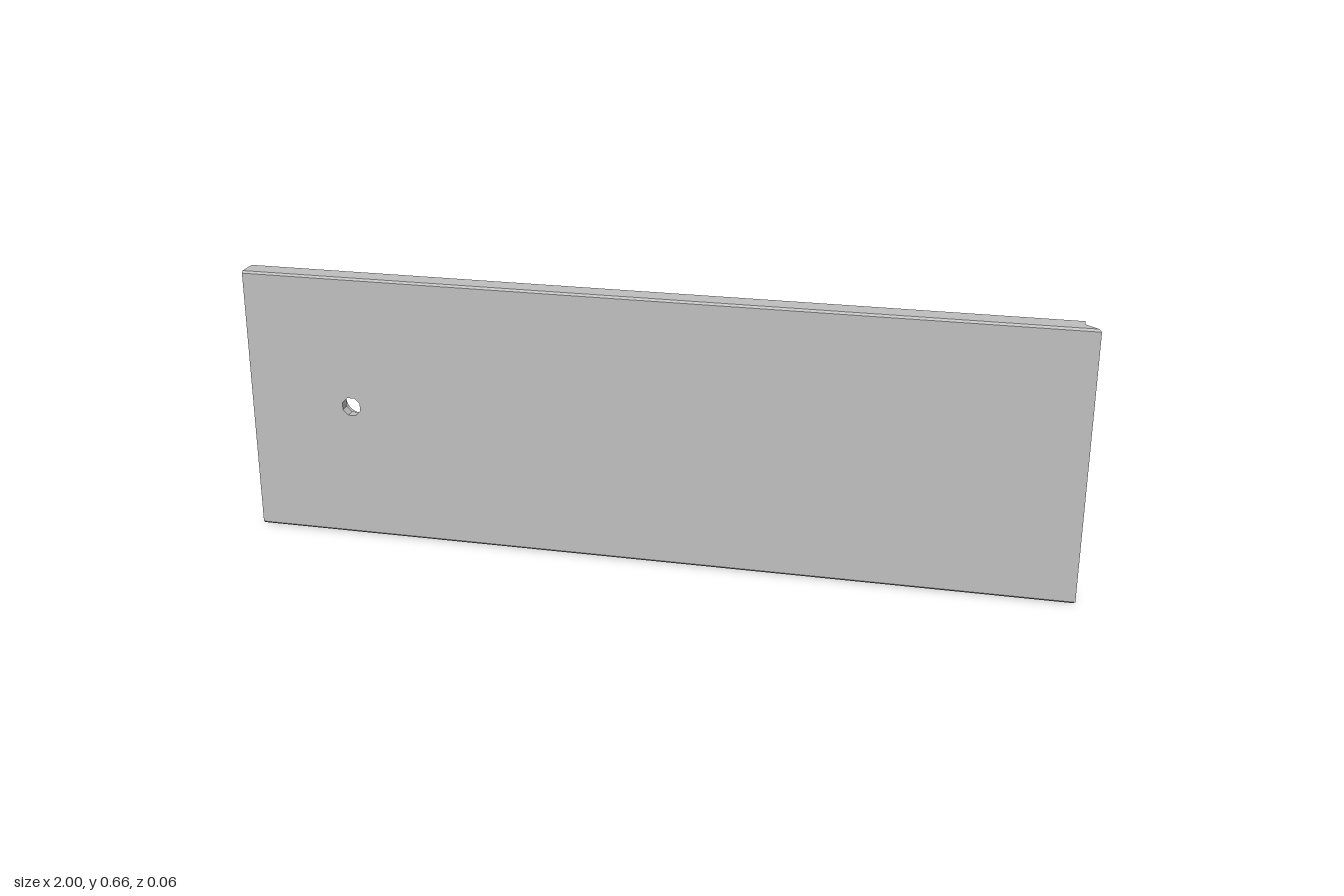
import * as THREE from 'three';

const BACK = -0.03, FRONT = 0.03, MID = -0.003;
const H = 0.66, BEVEL = 0.005;
const NOTCHES = [0.165, 0.333, 0.5];

// Side walls through [loop, z] sections; counter-clockwise loops face outward, clockwise inward
function loft(sections) {
  const pos = [];
  for (let s = 0; s + 1 < sections.length; s++) {
    const [a, z0] = sections[s], [b, z1] = sections[s + 1];
    a.forEach((p, i) => {
      const j = (i + 1) % a.length;
      pos.push(...p, z0, ...a[j], z0, ...b[j], z1, ...p, z0, ...b[j], z1, ...b[i], z1);
    });
  }
  const geo = new THREE.BufferGeometry();
  geo.setAttribute('position', new THREE.Float32BufferAttribute(pos, 3));
  geo.computeVertexNormals();
  return geo;
}

// Flat face with holes at depth z, facing the front or the back
function face(loop, holes, z, toBack) {
  const points = (l) => l.map(([x, y]) => new THREE.Vector2(x, y));
  const shape = new THREE.Shape(points(loop));
  holes.forEach((h) => shape.holes.push(new THREE.Path(points(h))));
  const geo = new THREE.ShapeGeometry(shape);
  if (toBack) {
    geo.setIndex(Array.from(geo.index.array).reverse());
    geo.computeVertexNormals();
  }
  return geo.translate(0, 0, z);
}

const reversed = (loop) => [...loop].reverse();
const rect = (x0, x1, y0, y1) => [[x0, y0], [x1, y0], [x1, y1], [x0, y1]];
const circle = (x, y, r, n) => Array.from({ length: n }, (_, i) => {
  const t = ((i + 0.5) / n) * Math.PI * 2;
  return [x + r * Math.cos(t), y + r * Math.sin(t)];
});
const octagon = (x0, x1, y0, y1, c) => [
  [x0 + c, y0], [x1 - c, y0], [x1, y0 + c], [x1, y1 - c],
  [x1 - c, y1], [x0 + c, y1], [x0, y1 - c], [x0, y0 + c],
];

// Flared notch cut into the end edge
const notch = (c) => [
  [0.965, c - 0.05], [0.945, c - 0.037], [0.875, c - 0.037], [0.865, c - 0.027],
  [0.865, c + 0.015], [0.875, c + 0.025], [0.945, c + 0.025], [0.965, c + 0.05],
];
const notchedOutline = (inset) => [
  [-1, inset], [0.965, inset], ...NOTCHES.flatMap(notch), [0.965, H - inset], [-1, H - inset],
];

// Keyhole slot, wide above and narrow below
const keyhole = (x, top) => [
  [x - 0.009, top - 0.125], [x + 0.009, top - 0.125], [x + 0.009, top - 0.08], [x + 0.018, top - 0.08],
  [x + 0.018, top], [x - 0.018, top], [x - 0.018, top - 0.08], [x - 0.009, top - 0.08],
];

export function createModel() {
  const group = new THREE.Group();
  const grey = new THREE.MeshStandardMaterial({ color: 0xc0c0c0 });
  grey.name = 'plain grey';
  const add = (name, geo) => {
    const mesh = new THREE.Mesh(geo, grey);
    mesh.name = name;
    group.add(mesh);
    return mesh;
  };

  const pocket = octagon(-0.64, 0.775, 0.03, 0.63, 0.095);
  const pocketFloor = octagon(-0.594, 0.729, 0.076, 0.584, 0.076);
  const bore = circle(-0.743, 0.335, 0.038, 24);
  const hole = circle(-0.743, 0.335, 0.024, 8);
  const slots = [keyhole(-0.863, 0.52), keyhole(-0.863, 0.185), rect(-0.836, -0.804, 0.27, 0.365)];

  // Panel skin
  add('frontFace', face(rect(-1, 1, BEVEL, H - BEVEL), [hole], FRONT, false));
  add('backFace', face(notchedOutline(BEVEL), [pocket, bore, ...slots], BACK, true));
  add('backRim', loft([
    [notchedOutline(BEVEL), BACK], [notchedOutline(0), BACK + BEVEL], [notchedOutline(0), MID],
  ]));
  // Front rim with the end edge flaring out as an undercut lip
  add('frontRim', loft([
    [rect(-1, 0.965, 0, H), MID], [rect(-1, 0.967, 0, H), 0],
    [rect(-1, 0.9945, 0, H), FRONT - BEVEL], [rect(-1, 1, BEVEL, H - BEVEL), FRONT],
  ]));

  // Large recess with sloping walls
  add('recessWalls', loft([[reversed(pocket), BACK], [reversed(pocketFloor), 0.02]]));
  add('recessFloor', face(pocketFloor, [], 0.02, true));

  // Stepped lock hole that passes through the panel
  add('lockBore', loft([[reversed(bore), BACK], [reversed(bore), 0.005]]));
  add('lockLedge', face(bore, [hole], 0.005, true));
  add('lockHole', loft([[reversed(hole), 0.005], [reversed(hole), FRONT]]));

  // Blind slots
  slots.forEach((s) => {
    add('slotWalls', loft([[reversed(s), BACK], [reversed(s), 0]]));
    add('slotFloor', face(s, [], 0, true));
  });
  add('slotBar', new THREE.BoxGeometry(0.032, 0.018, 0.02)).position.set(-0.82, 0.315, -0.01);

  // Notch floors and the ribs that divide them
  NOTCHES.forEach((c) => {
    add('notchFloor', face(notch(c), [], MID, true));
    add('notchRib', new THREE.BoxGeometry(0.1, 0.009, 0.026)).position.set(0.915, c + 0.001, -0.016);
    add('notchStep', new THREE.BoxGeometry(0.08, 0.013, 0.012)).position.set(0.905, c - 0.0305, -0.009);
  });

  return group;
}
